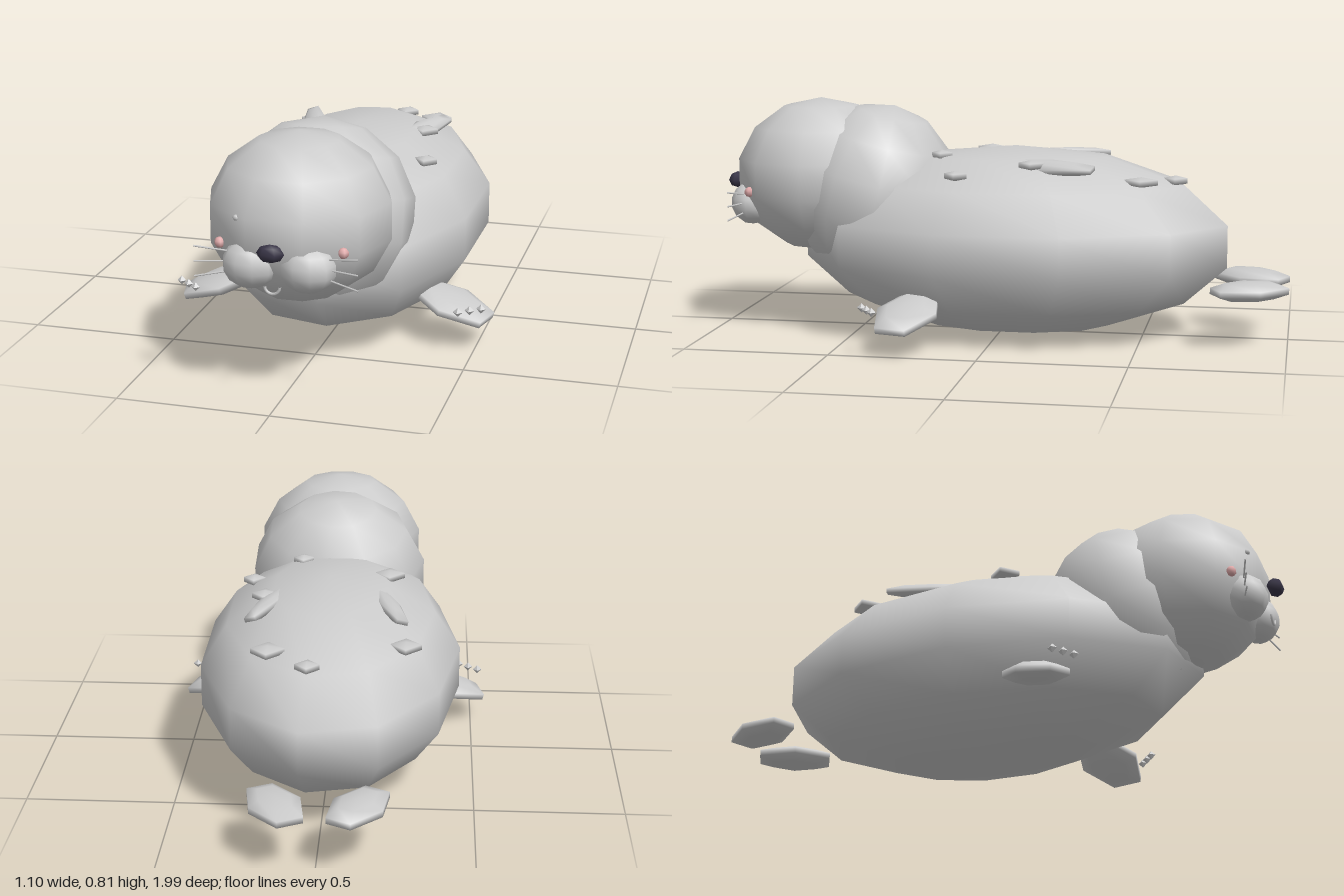
import * as THREE from 'three';

const grey = new THREE.MeshStandardMaterial({ color: 0xcccccc });
const dark = new THREE.MeshStandardMaterial({ color: 0x3a3648 });
const pink = new THREE.MeshStandardMaterial({ color: 0xe0aaaa });

export function createModel() {
  const model = new THREE.Group();

  const add = (name, geometry, position, rotation = [0, 0, 0], material = grey) => {
    const mesh = new THREE.Mesh(geometry, material);
    mesh.name = name;
    mesh.position.set(...position);
    mesh.rotation.set(...rotation, 'YXZ');
    model.add(mesh);
    return mesh;
  };
  // Low-poly ellipsoid with its own radii and side counts
  const ellipsoid = (name, radii, sides, rings, position, rotation, material) => {
    const mesh = add(name, new THREE.SphereGeometry(1, sides, rings), position, rotation, material);
    mesh.scale.set(...radii);
    return mesh;
  };

  // Torso, neck and head
  const centre = [0, 0.33, -0.05], torso = [0.46, 0.328, 0.767];
  ellipsoid('body', torso, 11, 7, centre);
  ellipsoid('neck', [0.325, 0.315, 0.29], 11, 7, [0, 0.485, 0.46], [-0.25, 0, 0]);
  ellipsoid('head', [0.303, 0.273, 0.3], 10, 7, [0, 0.542, 0.65]);

  // Nose and mouth
  ellipsoid('nose', [0.044, 0.029, 0.03], 6, 4, [0, 0.515, 0.965], [0, 0, 0], dark);
  add('mouth', new THREE.TorusGeometry(0.024, 0.005, 5, 8, Math.PI), [0, 0.405, 0.95], [0, 0, Math.PI]);
  ellipsoid('eyeGlint', [0.012, 0.01, 0.012], 6, 4, [-0.127, 0.597, 0.9]);

  for (const side of [1, -1]) {
    const label = side > 0 ? 'left' : 'right';

    // Face
    ellipsoid(label + 'Muzzle', [0.091, 0.077, 0.075], 10, 7, [side * 0.091, 0.447, 0.88]);
    ellipsoid(label + 'Blush', [0.018, 0.018, 0.018], 6, 5, [side * 0.197, 0.498, 0.858], [0, 0, 0], pink);
    for (const row of [-1, 0, 1]) {
      const path = new THREE.LineCurve3(
        new THREE.Vector3(side * 0.15, 0.452 + row * 0.031, 0.888),
        new THREE.Vector3(side * 0.26, 0.453 + row * 0.049, 0.92));
      add(label + 'Whisker', new THREE.TubeGeometry(path, 1, 0.003, 5), [0, 0, 0]);
    }

    // Front flippers with loose claws before them
    ellipsoid(label + 'FrontFlipper', [0.035, 0.115, 0.16], 6, 5, [side * 0.41, 0.133, 0.25])
      .geometry.rotateZ(Math.PI / 2).rotateY(Math.PI / 2);
    const flipper = model.children[model.children.length - 1];
    flipper.scale.set(0.16, 0.035, 0.115);
    flipper.geometry.dispose();
    flipper.geometry = new THREE.SphereGeometry(1, 6, 5).rotateY(Math.PI / 2);
    flipper.rotation.set(0, side * -0.25, side * -0.3, 'YXZ');
    for (let i = 0; i < 3; i++) {
      add(label + 'Claw', new THREE.OctahedronGeometry(0.016),
        [side * (0.456 + i * 0.034), 0.157, 0.393 - i * 0.025]);
    }

    // Tail flippers
    ellipsoid(label + 'TailFlipper', [0.092, 0.034, 0.153], 6, 5, [side * 0.13, 0.193, -0.87], [0, side * 0.47, 0]);

    // Slim fins lying on the back
    ellipsoid(label + 'BackFin', [0.042, 0.024, 0.19], 6, 5, [side * 0.205, 0.607, -0.2], [0, side * -0.3, side * -0.3]);
  }

  // Diamond spots seated on the top of the body: x, z, half width
  const spots = [[0.045, -0.61, 0.04], [0.18, -0.505, 0.056], [-0.265, -0.415, 0.052],
    [-0.2, 0.07, 0.052], [0.28, 0.11, 0.038], [0.11, 0.19, 0.036], [0.22, -0.14, 0.045]];
  for (const [x, z, size] of spots) {
    const rest = 1 - (x / torso[0]) ** 2 - ((z - centre[2]) / torso[2]) ** 2;
    const y = centre[1] + torso[1] * Math.sqrt(rest);
    ellipsoid('backSpot', [size / 0.866, 0.018, size / 0.866], 4, 3, [x, y, z]);
  }
  return model;
}
